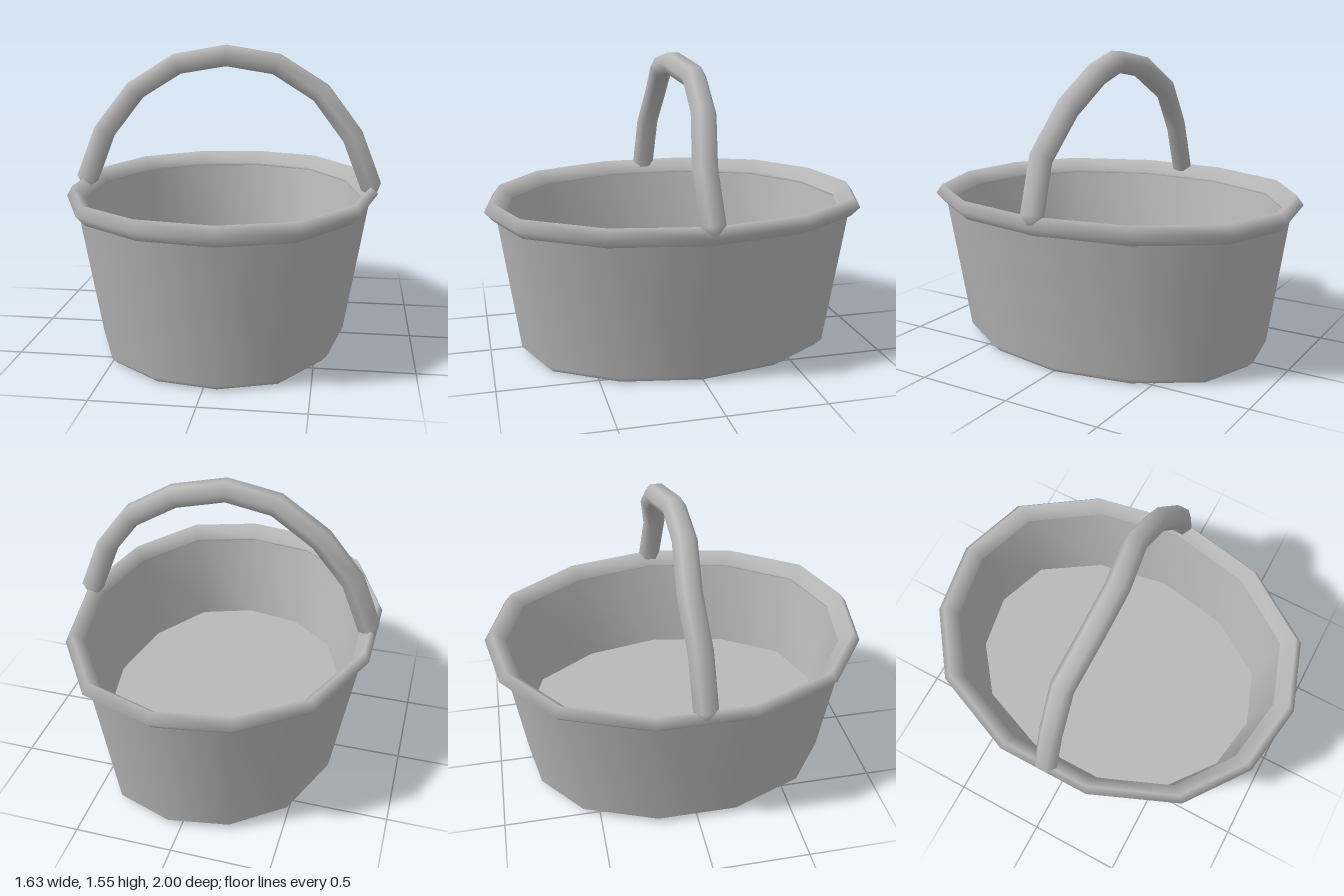
import * as THREE from 'three';

// Skin a list of closed rings (arrays of Vector3) with smooth normals
function skin(rings) {
  const n = rings[0].length, index = [];
  for (let r = 0; r < rings.length - 1; r++) {
    for (let k = 0; k < n; k++) {
      const a = r * n + k, b = r * n + (k + 1) % n;
      index.push(a, a + n, b + n, a, b + n, b);
    }
  }
  const geometry = new THREE.BufferGeometry().setFromPoints(rings.flat());
  geometry.setIndex(index);
  geometry.computeVertexNormals();
  return geometry;
}

// Thirteen-sided oval outline, mirrored front to back
const half = [[0.805, 0], [0.71, 0.495], [0.45, 0.877], [0.085, 1], [-0.3, 0.937], [-0.62, 0.7], [-0.805, 0.25]];
const outline = [...half, ...half.slice(1).reverse().map(([x, z]) => [x, -z])];

// Oval ring with half-width w, half-depth d at height y
const oval = ([w, d, y]) => outline.map(([x, z]) => new THREE.Vector3(x * w / 0.805, y, z * d));

// Tube with mitred joints along a polyline, closed by tapered tips
function tube(points, radius, sides) {
  const last = points.length - 1, rings = [];
  points.forEach((p, i) => {
    const t = points[Math.min(i + 1, last)].clone().sub(points[Math.max(i - 1, 0)]).normalize();
    const up = new THREE.Vector3(-t.y, t.x, 0).normalize();
    const side = new THREE.Vector3().crossVectors(up, t).normalize();
    const addRing = (offset, r) => rings.push(Array.from({ length: sides }, (_, k) => {
      const a = (k + 0.5) / sides * Math.PI * 2;
      return p.clone().addScaledVector(t, offset)
        .addScaledVector(up, r * Math.cos(a)).addScaledVector(side, r * Math.sin(a));
    }));
    if (i === 0) { addRing(-0.05, 0.001); addRing(-0.045, 0.02); }
    addRing(0, radius);
    if (i === last) { addRing(0.045, 0.02); addRing(0.05, 0.001); }
  });
  return skin(rings);
}

export function createModel() {
  const group = new THREE.Group();
  const grey = new THREE.MeshStandardMaterial({ color: 0xb8b8b8 });
  grey.name = 'grey';
  const add = (name, geometry) => {
    const mesh = new THREE.Mesh(geometry, grey);
    mesh.name = name;
    group.add(mesh);
  };

  // Basket: underside, flared outer wall, inner wall and raised floor
  const foot = [0.612, 0.805, 0], floor = [0.622, 0.815, 0.28];
  add('underside', skin([[0, 0, 0], foot].map(oval)));
  add('outerWall', skin([foot, [0.64, 0.838, 0.03], [0.763, 0.94, 0.75]].map(oval)));
  add('innerWall', skin([[0.725, 0.9, 0.76], floor].map(oval)));
  add('floor', skin([floor, [0, 0, 0.28]].map(oval)));

  // Rim: ridged lip, sloping inwards and outwards from its crest
  const lip = [[0.757, 0.955, 0.73], [0.805, 1, 0.78], [0.778, 0.962, 0.83],
    [0.718, 0.89, 0.765], [0.73, 0.905, 0.735], [0.757, 0.955, 0.73]];
  add('rim', skin(lip.map(oval)));

  // Handle: slightly wavy six-sided arch from side to side
  const path = [[-0.765, 0.825, 0], [-0.665, 1.085, -0.007], [-0.495, 1.305, -0.025], [-0.26, 1.45, 0],
    [0, 1.495, 0.002], [0.26, 1.45, -0.042], [0.495, 1.305, -0.025], [0.665, 1.085, 0.015], [0.765, 0.825, 0]];
  add('handle', tube(path.map((p) => new THREE.Vector3(...p)), 0.062, 6));

  return group;
}
